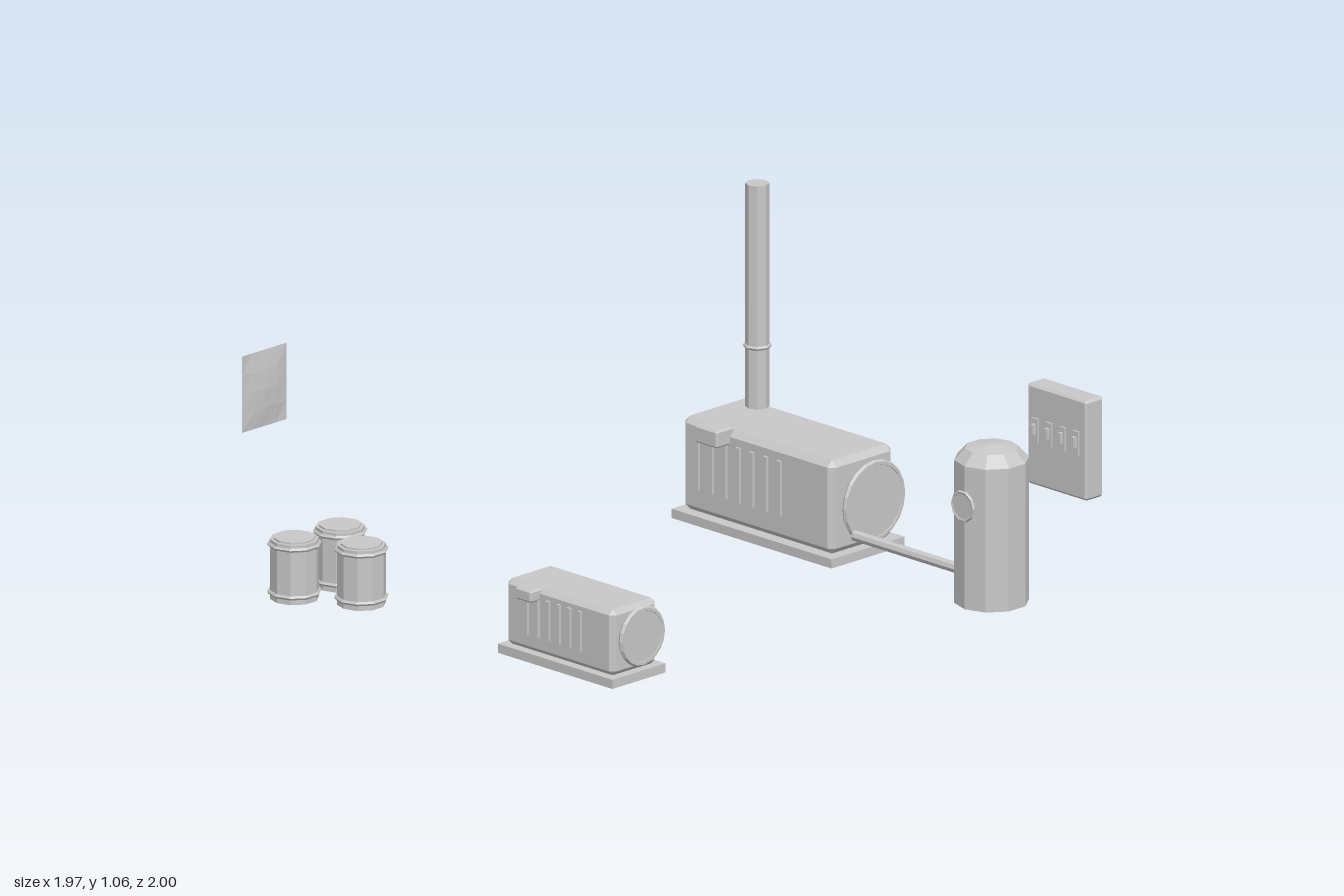
import * as THREE from 'three';
import { ConvexGeometry } from 'three/addons/geometries/ConvexGeometry.js';

const grey = new THREE.MeshStandardMaterial({ color: 0xc8c8c8 });
grey.name = 'machine grey';
grey.flatShading = true;
const sheetGrey = grey.clone();
sheetGrey.name = 'sheet grey';
sheetGrey.side = THREE.DoubleSide;

function add(parent, name, geometry, x = 0, y = 0, z = 0, material = grey) {
  const mesh = new THREE.Mesh(geometry, material);
  mesh.name = name;
  mesh.position.set(x, y, z);
  parent.add(mesh);
  return mesh;
}

function group(parent, name, x = 0, y = 0, z = 0) {
  const g = new THREE.Group();
  g.name = name;
  g.position.set(x, y, z);
  parent.add(g);
  return g;
}

const box = (w, h, d) => new THREE.BoxGeometry(w, h, d);
const cyl = (r, h, sides) => new THREE.CylinderGeometry(r, r, h, sides);

// Box with every edge cut at 45 degrees
function chamferBox(w, h, d, c) {
  const points = [];
  for (const sx of [-1, 1]) for (const sy of [-1, 1]) for (const sz of [-1, 1]) {
    const x = w / 2, y = h / 2, z = d / 2;
    points.push(
      new THREE.Vector3(sx * x, sy * (y - c), sz * (z - c)),
      new THREE.Vector3(sx * (x - c), sy * y, sz * (z - c)),
      new THREE.Vector3(sx * (x - c), sy * (y - c), sz * z));
  }
  return new ConvexGeometry(points);
}

// Engine set: skid, housing, louvres, round radiator and control box
function engineSet(parent, name, o) {
  const g = group(parent, name, o.x, 0, o.z);
  add(g, 'skid', box(o.skidW, 0.03, o.skidD), 0, 0.015, 0);
  add(g, 'housing', chamferBox(o.w, o.h, o.d, o.c), 0, 0.03 + o.h / 2, 0);
  for (let i = 0; i < o.louvres; i++) {
    for (const side of [-1, 1]) {
      add(g, 'louvre', box(o.louvreW, o.louvreH, 0.016),
        o.louvreX + i * o.louvreStep, o.louvreY, side * (o.d / 2 + 0.001));
    }
  }
  const ringX = o.w / 2 + o.ringOut;
  add(g, 'radiatorHub', cyl(o.fanR * 0.5, o.ringOut, 12).rotateZ(Math.PI / 2),
    o.w / 2 + o.ringOut / 2, o.fanY, 0);
  add(g, 'radiatorDisc', cyl(o.fanR * 0.92, 0.014, 20).rotateZ(Math.PI / 2), ringX, o.fanY, 0);
  add(g, 'radiatorRing', new THREE.TorusGeometry(o.fanR - 0.01, 0.01, 6, 20).rotateY(Math.PI / 2),
    ringX, o.fanY, 0);
  add(g, 'controlBox', chamferBox(...o.box, 0.006), ...o.boxAt);
  return g;
}

// Faceted drum with two wide hoops
function barrel(parent, x, z) {
  const g = group(parent, 'barrel', x, 0, z);
  add(g, 'barrelBody', cyl(0.077, 0.195, 10), 0, 0.1, 0);
  for (const y of [0.026, 0.182]) {
    add(g, 'barrelHoop', new THREE.TorusGeometry(0.079, 0.007, 5, 10).rotateX(Math.PI / 2).rotateY(Math.PI / 2), 0, y, 0);
  }
  add(g, 'barrelLid', cyl(0.066, 0.008, 10), 0, 0.199, 0);
}

export function createModel() {
  const model = new THREE.Group();
  model.name = 'generatorYard';

  // Main engine set
  const main = engineSet(model, 'mainGenerator', {
    x: -0.123, z: -0.637, skidW: 0.706, skidD: 0.32,
    w: 0.665, h: 0.305, d: 0.275, c: 0.02,
    louvres: 7, louvreX: -0.257, louvreStep: 0.06, louvreW: 0.017, louvreH: 0.18, louvreY: 0.2,
    fanR: 0.134, fanY: 0.19, ringOut: 0.046,
    box: [0.1, 0.057, 0.076], boxAt: [-0.168, 0.316, 0.156],
  });

  // Exhaust stack
  const stack = group(main, 'exhaustStack', -0.232, 0, -0.096);
  add(stack, 'stackPipe', cyl(0.038, 0.765, 8), 0, 0.6825, 0);
  add(stack, 'stackCollar', new THREE.TorusGeometry(0.039, 0.007, 5, 8).rotateX(Math.PI / 2), 0, 0.535, 0);

  // Smaller engine set
  engineSet(model, 'smallGenerator', {
    x: 0.342, z: 0.728, skidW: 0.505, skidD: 0.233,
    w: 0.474, h: 0.215, d: 0.2, c: 0.016,
    louvres: 6, louvreX: -0.137, louvreStep: 0.0465, louvreW: 0.013, louvreH: 0.13, louvreY: 0.15,
    fanR: 0.098, fanY: 0.15, ringOut: 0.028,
    box: [0.072, 0.04, 0.056], boxAt: [-0.118, 0.226, 0.113],
  });

  // Fuel tank with domed top and gauge
  const tank = group(model, 'fuelTank', 0.873, 0, -0.539);
  add(tank, 'tankBody', cyl(0.118, 0.467, 10), 0, 0.2645, 0);
  const dome = [[0.118, 0.498], [0.084, 0.535], [0, 0.547]].map(p => new THREE.Vector2(...p));
  add(tank, 'tankDome', new THREE.LatheGeometry(dome, 10));
  add(tank, 'gaugeFace', cyl(0.046, 0.01, 10).rotateX(Math.PI / 2), 0, 0.37, 0.123);
  add(tank, 'gaugeRim', new THREE.TorusGeometry(0.046, 0.006, 5, 10), 0, 0.37, 0.125);

  // Feed pipe from tank to main engine
  add(model, 'feedPipe', cyl(0.018, 0.51, 8).rotateZ(Math.PI / 2), 0.528, 0.104, -0.537);

  // Switch panel
  const panel = group(model, 'switchPanel', 0.773, 0.437, -0.961);
  add(panel, 'panelCase', chamferBox(0.264, 0.328, 0.076, 0.008));
  for (let i = 0; i < 4; i++) {
    const x = -0.09 + i * 0.06;
    add(panel, 'switchPlate', box(0.024, 0.08, 0.01), x, 0.018, 0.04);
    add(panel, 'switchLever', box(0.012, 0.035, 0.018), x, 0.024, 0.05);
  }

  // Barrels
  for (const [x, z] of [[-0.725, 0.726], [-0.55, 0.807], [-0.737, 0.914]]) barrel(model, x, z);

  // Thin wall notice, slightly bowed
  const notice = new THREE.PlaneGeometry(0.195, 0.25, 4, 4);
  const p = notice.attributes.position;
  for (let i = 0; i < p.count; i++) {
    const u = p.getX(i) / 0.0975, v = p.getY(i) / 0.125;
    p.setZ(i, 0.01 * (1 - u * u) * (1 - v * v));
  }
  notice.rotateY(Math.PI / 2);
  add(model, 'wallNotice', notice, -0.987, 0.603, 0.798, sheetGrey);

  return model;
}
